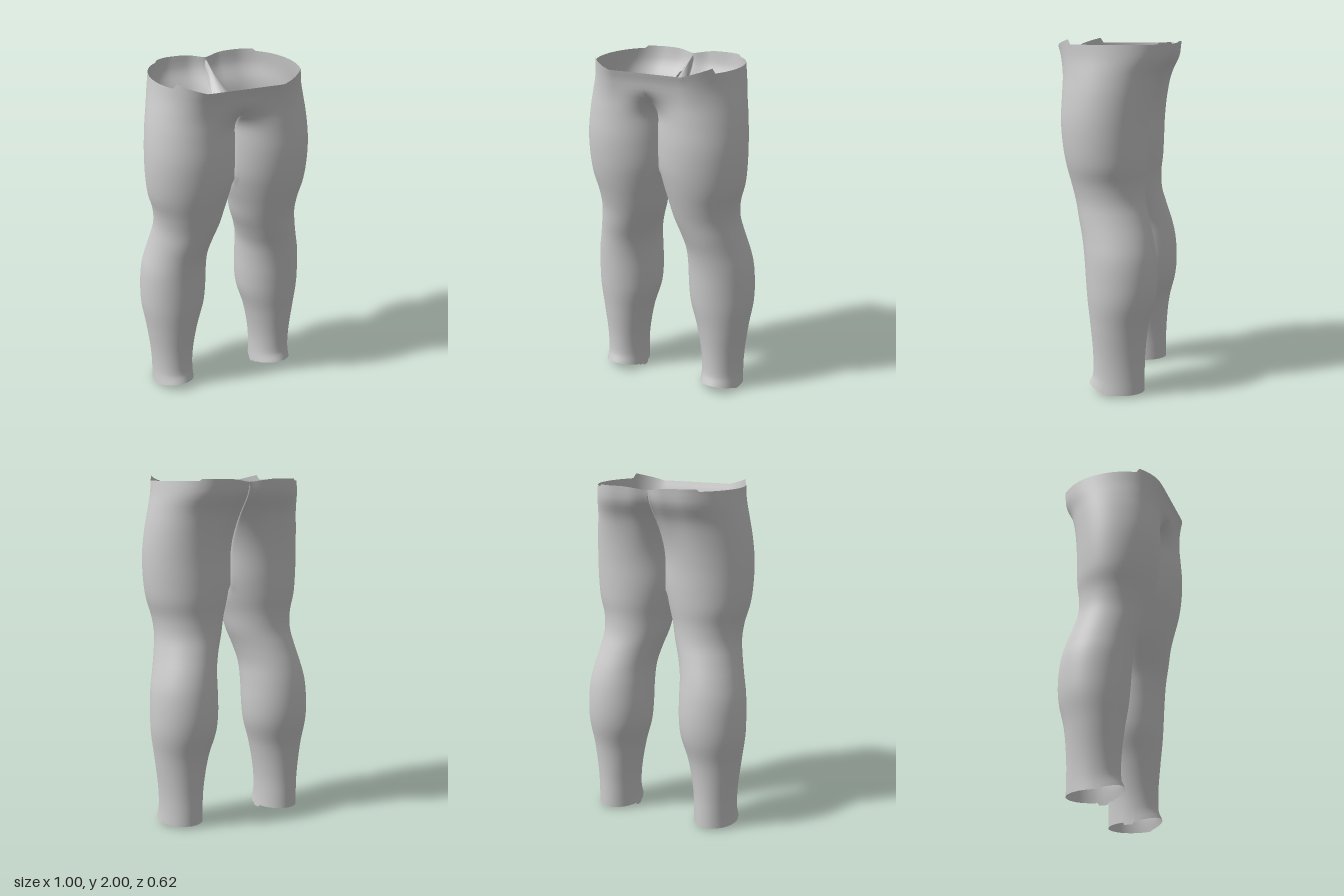
import * as THREE from 'three';

const STEP = 4, COLS = 90, ROWS = 72, EDGE = 152; // degrees; EDGE is where the inner wall begins

// height, outer x, inner x, front z, back z
const sections = [
  [0.02, 0.452, 0.202, 0.108, -0.212], [0.08, 0.448, 0.205, 0.09, -0.212],
  [0.2, 0.452, 0.2, 0.085, -0.213], [0.4, 0.476, 0.165, 0.102, -0.232],
  [0.55, 0.498, 0.122, 0.12, -0.268], [0.65, 0.5, 0.112, 0.128, -0.277],
  [0.8, 0.49, 0.11, 0.14, -0.268], [0.9, 0.468, 0.105, 0.155, -0.248],
  [1.0, 0.445, 0.08, 0.18, -0.22], [1.1, 0.43, 0.045, 0.203, -0.195],
  [1.2, 0.438, 0.022, 0.23, -0.19], [1.3, 0.465, -0.005, 0.256, -0.2],
  [1.4, 0.477, -0.025, 0.275, -0.205], [1.55, 0.48, -0.03, 0.287, -0.211],
  [1.7, 0.467, -0.03, 0.282, -0.23], [1.8, 0.45, -0.029, 0.28, -0.255],
  [1.9, 0.43, -0.027, 0.293, -0.302], [1.97, 0.42, -0.026, 0.31, -0.313],
];
const spline = new THREE.CubicInterpolant(
  sections.map(s => s[0]), sections.flatMap(s => s.slice(1)), 4);
const smooth = THREE.MathUtils.smoothstep;
const lerp = THREE.MathUtils.lerp;

// Angle of a column: 0 outer side, 90 front, 180 inner side, -90 back
const angleOf = j => { const a = (j % COLS) * STEP; return a > 180 ? a - 360 : a; };

// Top of the inner wall, rising from the crotch to the back of the waist
function wallTop(a) {
  const t = a > 0 ? (a - EDGE) / 56 : (a + 180 + 28) / 56;
  return lerp(1.74, 1.94, THREE.MathUtils.clamp(t, 0, 1));
}

// Uneven cut of the waist and the hem
function waistOffset(a) {
  if (a >= 42 && a <= 80) return lerp(0.03, -0.01, (a - 42) / 38);
  if (a > 80) return -0.015;
  if (a < -60) return lerp(0.012, -0.005, smooth(-a, 100, EDGE));
  return 0;
}
function hemOffset(a) {
  if (a > 20 && a < 160) return 0.03 * Math.sin((a - 20) / 140 * Math.PI);
  return Math.abs(a) > 168 ? -0.02 : -0.005;
}

function point(y, a) {
  const [xo, xi, zf, zb] = spline.evaluate(y);
  const r = THREE.MathUtils.degToRad(a), abs = Math.abs(a);
  const cz = (zf + zb) / 2, hz = (zf - zb) / 2;
  let x = (xo + xi) / 2 + (xo - xi) / 2 * Math.cos(r);
  let s = Math.sin(r);
  if (abs > 90) {
    // Thighs merge into the hips: fill the crease towards the midline
    const front = a > 0;
    const fill = front ? smooth(y, 1.68, 1.86) : smooth(y, 1.55, 1.95);
    let full = front ? 1 : lerp(1, 0.91, smooth(abs, 115, EDGE));
    if (abs > EDGE) full *= (180 - abs) / (180 - EDGE);
    s = lerp(s, front ? full : -full, fill);
  }
  x = Math.max(x, abs > EDGE ? 0.002 : 0);
  if (abs === EDGE && y > 1.35) x = 0;
  let py = y + waistOffset(a) * smooth(y, 1.9, 1.97) + hemOffset(a) * (1 - smooth(y, 0.02, 0.12));
  if (abs > EDGE) py = Math.min(py, wallTop(a));
  return [x, py, cz + hz * s];
}

function legGeometry(side) {
  const pos = [], idx = [];
  const height = i => lerp(0.02, 1.97, i / ROWS);
  for (let i = 0; i <= ROWS; i++) {
    for (let j = 0; j < COLS; j++) {
      const [x, y, z] = point(height(i), angleOf(j));
      pos.push(side * x, y, z);
    }
  }
  for (let i = 0; i < ROWS; i++) {
    for (let j = 0; j < COLS; j++) {
      const a = angleOf(j), b = angleOf(j + 1);
      const onWall = Math.abs(a) >= EDGE && Math.abs(b) >= EDGE;
      if (onWall && height(i) >= Math.min(wallTop(a), wallTop(b))) continue;
      const p = i * COLS + j, q = i * COLS + (j + 1) % COLS;
      if (side > 0) idx.push(p, p + COLS, q, q, p + COLS, q + COLS);
      else idx.push(p, q, p + COLS, q, q + COLS, p + COLS);
    }
  }
  const geo = new THREE.BufferGeometry();
  geo.setAttribute('position', new THREE.Float32BufferAttribute(pos, 3));
  geo.setIndex(idx);
  geo.computeVertexNormals();
  // Smooth shading across the front of the hips
  const n = geo.attributes.normal, v = new THREE.Vector3();
  for (let i = 0; i <= ROWS; i++) {
    if (height(i) < 1.8) continue;
    const k = i * COLS + EDGE / STEP;
    v.fromBufferAttribute(n, k).setX(0).normalize();
    n.setXYZ(k, v.x, v.y, v.z);
  }
  return geo;
}

// Narrow ridge closing the gap between the two inner walls
function gussetGeometry() {
  const pos = [], idx = [], N = 20, across = [-1, -0.5, 0, 0.5, 1];
  for (let i = 0; i <= N; i++) {
    const t = i / N, w = 0.008 + 0.042 * Math.pow(Math.sin(Math.PI * Math.pow(t, 0.8)), 2);
    for (const u of across) {
      pos.push(u * w, lerp(1.735, 1.955, t) - 0.03 * u * u, lerp(0.16, -0.275, t));
    }
  }
  for (let i = 0; i < N; i++) {
    for (let j = 0; j < 4; j++) {
      const p = i * 5 + j;
      idx.push(p, p + 1, p + 5, p + 1, p + 6, p + 5);
    }
  }
  const geo = new THREE.BufferGeometry();
  geo.setAttribute('position', new THREE.Float32BufferAttribute(pos, 3));
  geo.setIndex(idx);
  geo.computeVertexNormals();
  return geo;
}

export function createModel() {
  const fabric = new THREE.MeshStandardMaterial({ color: 0xcccccc, side: THREE.DoubleSide });
  fabric.name = 'light grey fabric';
  const group = new THREE.Group();
  group.name = 'leggings';
  const add = (geo, name) => {
    const mesh = new THREE.Mesh(geo, fabric);
    mesh.name = name;
    group.add(mesh);
  };
  add(legGeometry(1), 'leftLeg');
  add(legGeometry(-1), 'rightLeg');
  add(gussetGeometry(), 'gusset');
  return group;
}
